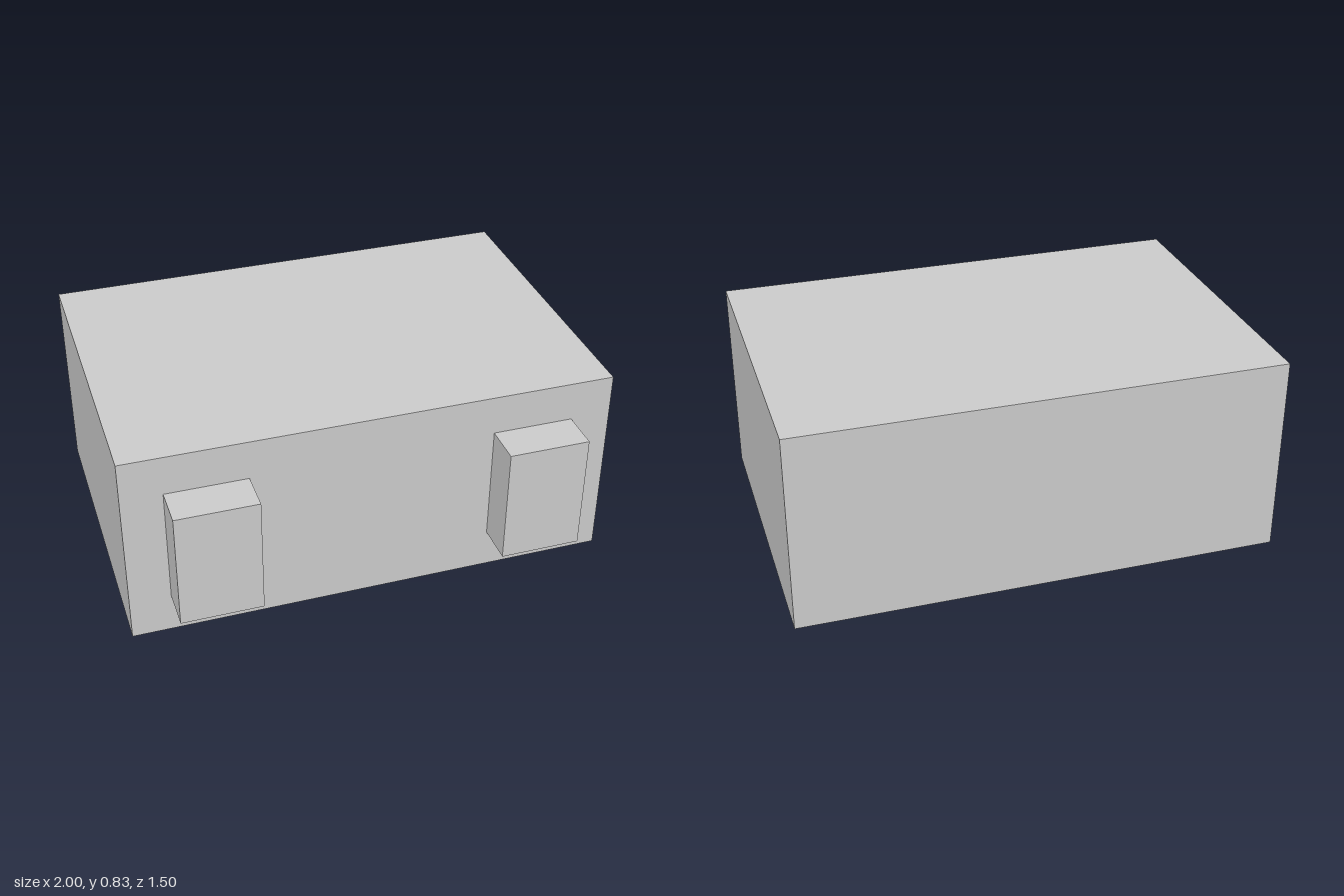
import * as THREE from 'three';

const U = 1 / 6; // base unit: the body is 12 x 5 x 8 units

export function createModel() {
  const model = new THREE.Group();
  const material = new THREE.MeshStandardMaterial({ color: 0xcccccc, flatShading: true });

  // Box given by its size and centre, in base units
  function addBox(name, [w, h, d], [x, y, z]) {
    const mesh = new THREE.Mesh(new THREE.BoxGeometry(w * U, h * U, d * U), material);
    mesh.position.set(x * U, y * U, z * U);
    mesh.name = name;
    model.add(mesh);
  }

  // Main block
  addBox('body', [12, 5, 8], [0, 2.5, -0.5]);

  // Mirrored pair of blocks standing out from the front face
  for (const [name, side] of [['leftFrontBlock', 1], ['rightFrontBlock', -1]]) {
    addBox(name, [2, 3, 1], [side * 4, 2.5, 4]);
  }

  return model;
}
